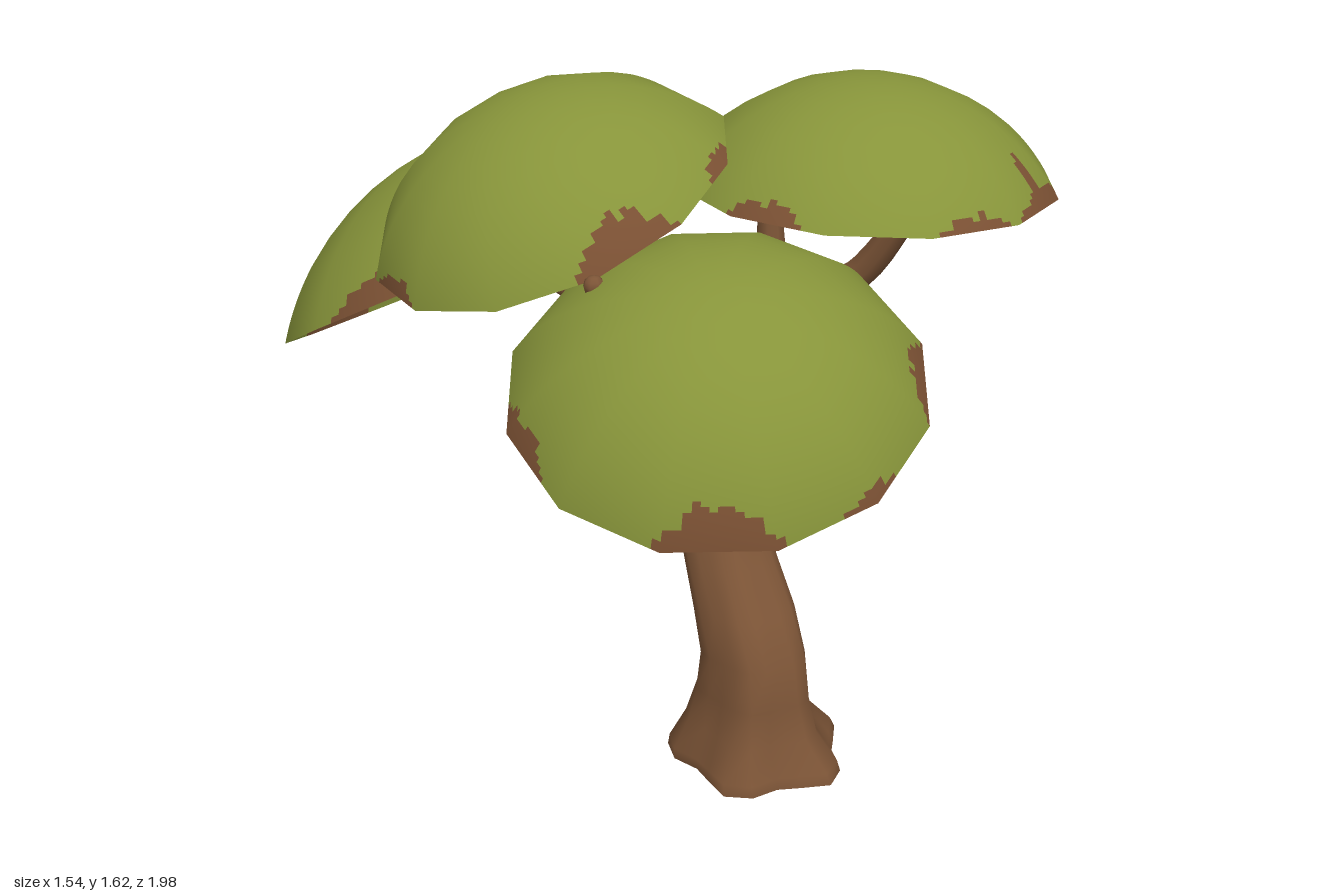
import * as THREE from 'three';

const leaf = new THREE.MeshStandardMaterial({ color: 0x87943a, side: THREE.DoubleSide });
leaf.name = 'leafGreen';
const dry = new THREE.MeshStandardMaterial({ color: 0x7a5033, side: THREE.DoubleSide });
dry.name = 'dryLeafBrown';
const bark = new THREE.MeshStandardMaterial({ color: 0x7d5537 });
bark.name = 'barkBrown';

function seeded(seed) {
  return () => (seed = (seed * 16807) % 2147483647) / 2147483647;
}

// Trunk: horizontal oval rings [x, y, z, radiusX, radiusZ, root ripple]
function makeTrunk() {
  const rings = [
    [0.04, 0.012, 0.215, 0.19, 0.2, 0.13],
    [0.035, 0.04, 0.215, 0.185, 0.195, 0.12],
    [0.025, 0.11, 0.21, 0.14, 0.162, 0.1],
    [0.02, 0.2, 0.22, 0.122, 0.14, 0.07],
    [0.018, 0.3, 0.222, 0.115, 0.125, 0.06],
    [0.015, 0.4, 0.185, 0.113, 0.11, 0.06],
    [0.012, 0.5, 0.125, 0.104, 0.104, 0.05],
    [0.01, 0.6, 0.075, 0.098, 0.098, 0.05],
    [0.018, 0.7, 0.035, 0.092, 0.095, 0.03],
    [0.015, 0.78, 0.018, 0.098, 0.092, 0],
    [0.02, 0.84, 0.012, 0.085, 0.075, 0],
    [0.03, 0.875, 0.01, 0.03, 0.03, 0],
  ];
  const sides = 20, pos = [], index = [];
  for (const [x, y, z, rx, rz, ripple] of rings) {
    for (let j = 0; j < sides; j++) {
      const a = (j / sides) * Math.PI * 2;
      const k = 1 + ripple * Math.cos(5 * a + 4 * y + 0.4);
      pos.push(x + Math.cos(a) * rx * k, y, z + Math.sin(a) * rz * k);
    }
  }
  for (let i = 0; i < rings.length - 1; i++) {
    for (let j = 0; j < sides; j++) {
      const a = i * sides + j, b = i * sides + (j + 1) % sides;
      index.push(a, a + sides, b, b, a + sides, b + sides);
    }
  }
  // Separate vertices keep the underside edge sharp
  const base = pos.length / 3;
  for (let j = 0; j < sides; j++) pos.push(pos[j * 3], pos[j * 3 + 1], pos[j * 3 + 2]);
  pos.push(0.04, 0.012, 0.215);
  for (let j = 0; j < sides; j++) index.push(base + sides, base + j, base + (j + 1) % sides);
  const g = new THREE.BufferGeometry();
  g.setAttribute('position', new THREE.Float32BufferAttribute(pos, 3));
  g.setIndex(index);
  g.computeVertexNormals();
  const mesh = new THREE.Mesh(g, bark);
  mesh.name = 'trunk';
  return mesh;
}

// Branch: a tube whose radius follows the list from root to tip
function makeBranch(name, points, radii) {
  const curve = new THREE.CatmullRomCurve3(points.map(p => new THREE.Vector3(...p)), false, 'centripetal');
  const segs = 12, sides = 8;
  const g = new THREE.TubeGeometry(curve, segs, 1, sides);
  const p = g.attributes.position, v = new THREE.Vector3();
  for (let i = 0; i <= segs; i++) {
    const c = curve.getPointAt(i / segs);
    const s = (i / segs) * (radii.length - 1), k = Math.min(Math.floor(s), radii.length - 2);
    const r = THREE.MathUtils.lerp(radii[k], radii[k + 1], s - k);
    for (let j = 0; j <= sides; j++) {
      const n = i * (sides + 1) + j;
      v.fromBufferAttribute(p, n).sub(c).multiplyScalar(r).add(c);
      p.setXYZ(n, v.x, v.y, v.z);
    }
  }
  const group = new THREE.Group();
  group.name = name;
  group.add(new THREE.Mesh(g, bark));
  // Rounded tip
  const tip = new THREE.Mesh(new THREE.SphereGeometry(radii[radii.length - 1], 8, 6), bark);
  tip.position.set(...points[points.length - 1]);
  group.add(tip);
  return group;
}

// Canopy: open 12-sided dome with ragged dry patches along its rim.
// Patches are [azimuth degrees, half width degrees, depth as part of the arc]
function makeCanopy({ name, centre, normal, radius, height, patches, seed }) {
  const rand = seeded(seed), sides = 12, cols = 144;
  const rs = (radius * radius + height * height) / (2 * height);
  const span = Math.asin(radius / rs), step = (Math.PI * 2) / sides;
  const steps = [];
  for (let i = 0; i <= 6; i++) steps.push((i / 6) * 0.7);
  for (let i = 1; i <= 14; i++) steps.push(0.7 + (i / 14) * 0.3);

  const pos = [], nor = [], green = [], brown = [];
  for (const t of steps) {
    for (let j = 0; j <= cols; j++) {
      const a = (j / cols) * Math.PI * 2, th = t * span;
      const within = (a + step / 2) % step - step / 2;
      const flat = Math.cos(step / 2) / Math.cos(step / 2 - Math.abs(within));
      const s = Math.sin(th), c = Math.cos(th);
      pos.push(rs * s * flat * Math.cos(a), rs * (c - Math.cos(span)), rs * s * flat * Math.sin(a));
      nor.push(s * Math.cos(a), c, s * Math.sin(a));
    }
  }
  const depth = [];
  for (let j = 0; j < cols; j++) {
    const deg = ((j + 0.5) / cols) * 360;
    let d = 0;
    for (const [az, w, h] of patches) {
      const off = Math.abs(((deg - az + 540) % 360 + 360) % 360 - 180) / w;
      if (off < 1) d = Math.max(d, h * (1 - off * off) * (0.65 + 0.5 * rand()));
    }
    depth.push(d);
  }
  for (let i = 0; i < steps.length - 1; i++) {
    const mid = (steps[i] + steps[i + 1]) / 2;
    for (let j = 0; j < cols; j++) {
      const a = i * (cols + 1) + j, b = a + cols + 1;
      const list = mid > 1 - depth[j] ? brown : green;
      if (i > 0) list.push(a, a + 1, b);
      list.push(a + 1, b + 1, b);
    }
  }
  const g = new THREE.BufferGeometry();
  g.setAttribute('position', new THREE.Float32BufferAttribute(pos, 3));
  g.setAttribute('normal', new THREE.Float32BufferAttribute(nor, 3));
  g.setIndex([...green, ...brown]);
  g.addGroup(0, green.length, 0);
  g.addGroup(green.length, brown.length, 1);
  // Turn so that a rim corner falls 15 degrees off the x axis
  g.rotateY(-Math.PI / 12);
  const mesh = new THREE.Mesh(g, [leaf, dry]);
  mesh.name = name;
  mesh.position.set(...centre);
  mesh.quaternion.setFromUnitVectors(new THREE.Vector3(0, 1, 0), new THREE.Vector3(...normal).normalize());
  return mesh;
}

export function createModel() {
  const tree = new THREE.Group();
  tree.name = 'tree';
  tree.add(makeTrunk());

  // Main limbs and their forks
  const limbs = [
    ['leftLimb', [[0.03, 0.68, 0.04], [0.06, 0.86, 0.03], [0.12, 0.98, 0.04], [0.18, 1.09, 0.045]], [0.08, 0.075, 0.058, 0.035]],
    ['leftInnerFork', [[0.15, 1.02, 0.04], [0.175, 1.13, 0.02], [0.185, 1.37, -0.01]], [0.042, 0.033, 0.02]],
    ['leftOuterFork', [[0.14, 1.02, 0.04], [0.21, 1.1, 0.12], [0.28, 1.15, 0.2], [0.355, 1.36, 0.335]], [0.045, 0.04, 0.034, 0.025]],
    ['frontLimb', [[0.0, 0.72, 0.05], [-0.07, 0.85, 0.14], [-0.17, 1.0, 0.285]], [0.075, 0.062, 0.04]],
    ['frontUpperFork', [[-0.15, 0.97, 0.26], [-0.25, 1.08, 0.32], [-0.48, 1.345, 0.43]], [0.042, 0.033, 0.022]],
    ['frontLowerFork', [[-0.14, 0.965, 0.25], [-0.28, 0.945, 0.46], [-0.34, 1.02, 0.55], [-0.46, 1.235, 0.77]], [0.042, 0.024, 0.018, 0.01]],
    ['backLimb', [[0.01, 0.7, 0.02], [0.0, 0.82, -0.07], [-0.04, 0.94, -0.29], [-0.17, 1.035, -0.6]], [0.08, 0.05, 0.036, 0.022]],
    ['backFork', [[-0.035, 0.92, -0.27], [-0.06, 1.02, -0.31], [-0.105, 1.26, -0.38]], [0.035, 0.02, 0.007]],
  ];
  for (const limb of limbs) tree.add(makeBranch(...limb));

  const canopies = [
    {
      name: 'leftCanopy', centre: [0.355, 1.345, 0.125], normal: [0.035, 1, 0], radius: 0.428, height: 0.232, seed: 11,
      patches: [[-10, 12, 0.2], [38, 20, 0.1], [40, 4, 0.3], [75, 14, 0.08], [140, 14, 0.1], [-77, 14, 0.1], [-140, 20, 0.13]],
    },
    {
      name: 'backCanopy', centre: [-0.245, 1.07, -0.51], normal: [-0.2, 1, -0.5], radius: 0.548, height: 0.3, seed: 23,
      patches: [[0, 22, 0.1], [30, 12, 0.13], [130, 16, 0.12], [-88, 14, 0.14], [-143, 16, 0.13], [-50, 10, 0.09], [70, 12, 0.1]],
    },
    {
      name: 'frontCanopy', centre: [-0.305, 1.158, 0.607], normal: [-0.25, 1, 0.38], radius: 0.42, height: 0.242, seed: 37,
      patches: [[105, 18, 0.2], [15, 16, 0.13], [175, 15, 0.12], [-65, 18, 0.13], [-120, 12, 0.12], [60, 10, 0.06]],
    },
    {
      name: 'upperCanopy', centre: [-0.38, 1.397, 0.04], normal: [-0.42, 1, 0], radius: 0.402, height: 0.222, seed: 53,
      patches: [[-105, 26, 0.13], [78, 18, 0.22], [-15, 14, 0.12], [165, 12, 0.1], [30, 12, 0.08], [-60, 10, 0.1]],
    },
  ];
  for (const canopy of canopies) tree.add(makeCanopy(canopy));
  return tree;
}
